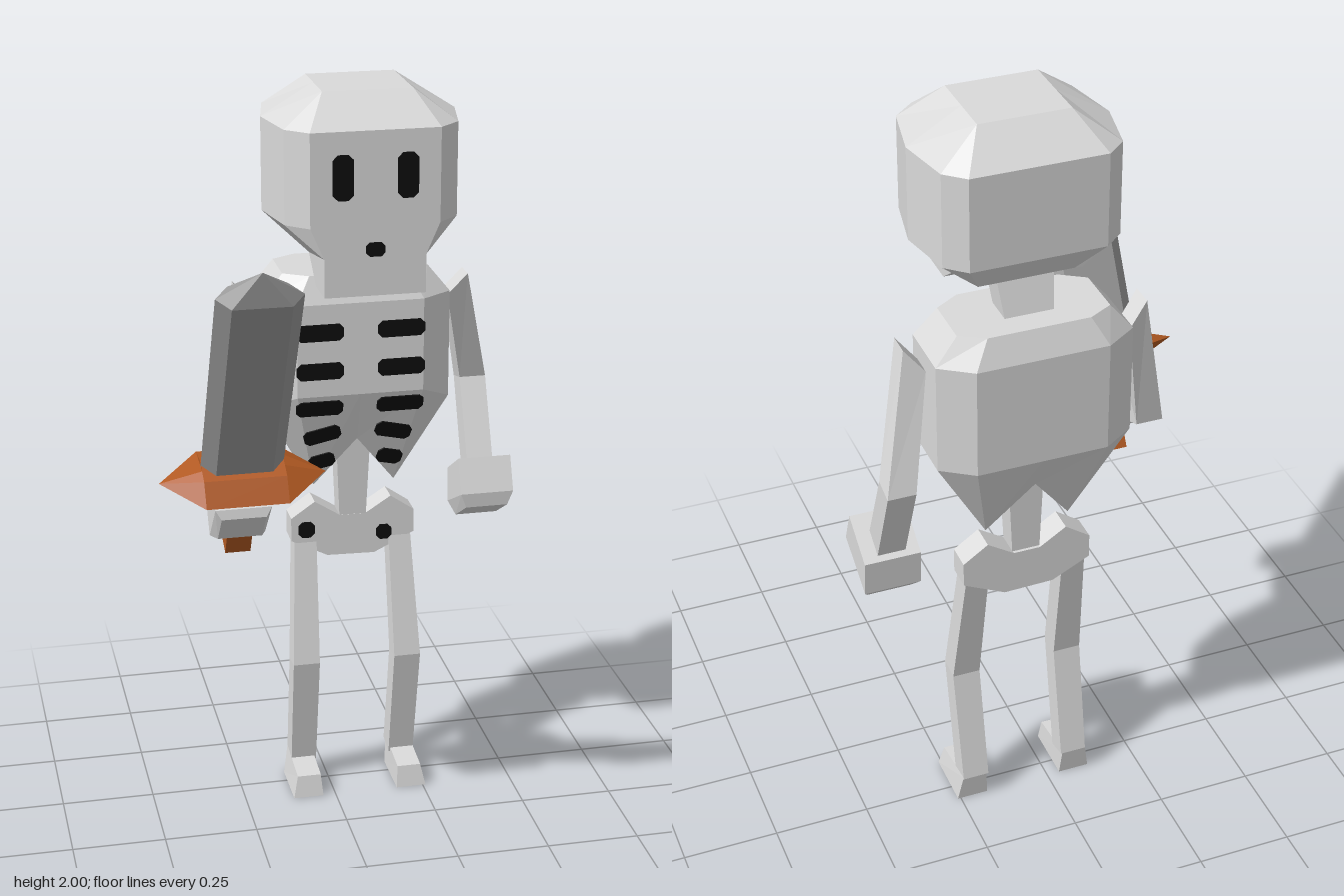
import * as THREE from 'three';

const mat = (name, color) => {
  const m = new THREE.MeshStandardMaterial({ color });
  m.name = name;
  return m;
};

// Faceted skin through rings of points; both ends are capped by strips pairing point i with n-1-i
function loft(rings) {
  const pos = [];
  const tri = (a, b, c) => {
    const [A, B, C] = [a, b, c].map(p => new THREE.Vector3(...p));
    if (B.clone().sub(A).cross(C.clone().sub(A)).length() > 1e-7) pos.push(...a, ...b, ...c);
  };
  const quad = (a, b, c, d) => { tri(a, b, c); tri(a, c, d); };
  const n = rings[0].length;
  for (let r = 0; r < rings.length - 1; r++) {
    const u = rings[r], v = rings[r + 1];
    for (let i = 0; i < n; i++) {
      const j = (i + 1) % n;
      quad(u[i], u[j], v[j], v[i]);
    }
  }
  const first = rings[0], last = rings[rings.length - 1];
  for (let i = 0; i < n / 2 - 1; i++) {
    quad(first[n - 1 - i], first[n - 2 - i], first[i + 1], first[i]);
    quad(last[i], last[i + 1], last[n - 2 - i], last[n - 1 - i]);
  }
  const g = new THREE.BufferGeometry();
  g.setAttribute('position', new THREE.Float32BufferAttribute(pos, 3));
  g.computeVertexNormals();
  return g;
}

// Four-corner ring: x range, then the front and back edges as [z, y]
const seg = (x0, x1, [zf, yf], [zb, yb]) =>
  [[x0, yf, zf], [x0, yb, zb], [x1, yb, zb], [x1, yf, zf]];

// Ring mirrored in x from its +x half, listed front to back as [x, y, z]
const mirrored = half =>
  [...half.map(([x, y, z]) => [-x, y, z]), ...half.slice().reverse()];

export function createModel() {
  const bone = mat('bone', 0xdadada);
  const dark = mat('dark holes', 0x0e0e0e);
  const steel = mat('steel', 0x9a9a9a);
  const copper = mat('copper brown', 0xb25a22);

  const model = new THREE.Group();
  const body = new THREE.Group();
  body.name = 'body';
  body.position.x = 0.07;
  model.add(body);

  const add = (parent, name, geometry, material) => {
    const m = new THREE.Mesh(geometry, material);
    m.name = name;
    parent.add(m);
    return m;
  };

  // Thin dark plate with clipped corners
  const plate = (name, w, h, x, y, z, pitch = 0, roll = 0) => {
    const a = w / 2, b = h / 2, c = Math.min(w, h) * 0.25;
    const s = new THREE.Shape([[a, b - c], [a - c, b], [c - a, b], [-a, b - c],
      [-a, c - b], [c - a, -b], [a - c, -b], [a, c - b]].map(p => new THREE.Vector2(...p)));
    const m = add(body, name, new THREE.ExtrudeGeometry(s, { depth: 0.006, bevelEnabled: false }), dark);
    m.position.set(x, y, z - 0.002);
    m.rotation.set(pitch, 0, roll);
  };

  // Skull with the jaw hanging below its front
  const skull = y => mirrored([[0.165, y, 0.016], [0.22, y, -0.035], [0.25, y, -0.19],
    [0.22, y, -0.34], [0.17, y, -0.385]]);
  const nape = [[0.13, 1.565, -0.18], [0.13, 1.605, -0.33], [0.11, 1.605, -0.33]];
  add(body, 'skull', loft([
    mirrored([[0.115, 2, -0.08], [0.115, 2, -0.08], [0.115, 2, -0.19], [0.115, 2, -0.29], [0.115, 2, -0.29]]),
    skull(1.92), skull(1.68),
    mirrored([[0.13, 1.6, 0.016], [0.13, 1.6, 0.016], ...nape]),
    mirrored([[0.13, 1.5, 0.016], [0.13, 1.5, -0.09], ...nape]),
  ]), bone);
  for (const s of [-1, 1]) plate('eye', 0.053, 0.115, s * 0.082, 1.805, 0.016);
  plate('nose', 0.048, 0.036, 0, 1.62, 0.016);

  // Neck and spine
  add(body, 'neck', loft([
    seg(-0.075, 0.075, [-0.21, 1.62], [-0.29, 1.62]),
    seg(-0.06, 0.06, [-0.25, 1.48], [-0.33, 1.48]),
  ]), bone);
  add(body, 'spine', loft([
    seg(-0.05, 0.05, [-0.24, 1.1], [-0.31, 1.1]),
    seg(-0.035, 0.035, [-0.25, 0.76], [-0.31, 0.76]),
  ]), bone);

  // Ribcage, ending in two points with a notch between them
  const chest = (yf, y, ws, wf, zf, zsf, zsb, zb) => [
    [ws, y, zsf], [wf, yf, zf], [0, yf, zf], [-wf, yf, zf], [-ws, y, zsf],
    [-ws, y, zsb], [-wf, y, zb], [0, y, zb], [wf, y, zb], [ws, y, zsb]];
  const tf = [0.11, 0.9, -0.238], tb = [0.11, 0.89, -0.315];
  const flip = ([x, y, z]) => [-x, y, z];
  add(body, 'ribcage', loft([
    chest(1.5, 1.5, 0.193, 0.13, -0.18, -0.22, -0.355, -0.39),
    chest(1.43, 1.43, 0.25, 0.168, -0.15, -0.205, -0.365, -0.42),
    chest(1.18, 1.14, 0.25, 0.168, -0.15, -0.205, -0.365, -0.42),
    [tf, tf, [0, 1.04, -0.195], flip(tf), flip(tf), flip(tb), flip(tb), [0, 1.04, -0.37], tb, tb],
  ]), bone);

  // Rib gaps: centre x, y, width, roll
  const gaps = [[0.108, 1.355, 0.125, 0], [0.108, 1.25, 0.125, 0], [0.108, 1.145, 0.125, 0],
    [0.096, 1.06, 0.1, 0.25], [0.092, 0.977, 0.07, 0.25]];
  for (const [x, y, w, roll] of gaps) {
    const low = Math.max(0, 1.18 - y);
    for (const s of [-1, 1])
      plate('ribGap', w, 0.045, s * x, y, -0.15 - 0.315 * low, low ? 0.305 : 0, -s * roll);
  }

  // Pelvis
  const hip = [[0.17, 0.735], [0.17, 0.8], [0.105, 0.845], [0.035, 0.8],
    [-0.035, 0.8], [-0.105, 0.845], [-0.17, 0.8], [-0.17, 0.735], [-0.07, 0.685], [0.06, 0.682]];
  add(body, 'pelvis', new THREE.ExtrudeGeometry(
    new THREE.Shape(hip.map(p => new THREE.Vector2(...p))),
    { depth: 0.07, bevelEnabled: false }), bone).position.z = -0.318;
  plate('pelvisHole', 0.045, 0.045, -0.128, 0.765, -0.248);
  plate('pelvisHole', 0.042, 0.042, 0.086, 0.742, -0.248);

  // Legs and feet
  for (const s of [-1, 1]) {
    const ring = (a, b, f, k) => seg(Math.min(s * a, s * b), Math.max(s * a, s * b), f, k);
    add(body, 'leg', loft([
      ring(0.1, 0.16, [-0.252, 0.75], [-0.312, 0.75]),
      ring(0.105, 0.178, [-0.187, 0.39], [-0.25, 0.385]),
      ring(0.105, 0.175, [-0.25, 0.06], [-0.312, 0.075]),
    ]), bone);
    add(body, 'foot', loft([
      ring(0.11, 0.175, [-0.158, 0.06], [-0.311, 0.08]),
      ring(0.105, 0.188, [-0.145, 0], [-0.3, 0]),
    ]), bone);
  }

  // Left arm, hanging
  add(model, 'leftArm', loft([
    [[0.33, 1.4, -0.265], [0.33, 1.4, -0.325], [0.38, 1.46, -0.31], [0.38, 1.46, -0.248]],
    seg(0.39, 0.462, [-0.35, 1.135], [-0.412, 1.12]),
    seg(0.39, 0.462, [-0.25, 0.91], [-0.312, 0.88]),
  ]), bone);
  add(model, 'leftHand', loft([
    seg(0.355, 0.5, [-0.215, 0.95], [-0.33, 0.88]),
    seg(0.355, 0.5, [-0.177, 0.86], [-0.322, 0.785]),
    seg(0.37, 0.485, [-0.18, 0.82], [-0.29, 0.755]),
  ]), bone);

  // Right arm, bent forward
  add(model, 'rightArm', loft([
    [[-0.24, 1.46, -0.248], [-0.24, 1.46, -0.31], [-0.19, 1.4, -0.325], [-0.19, 1.4, -0.265]],
    seg(-0.323, -0.252, [-0.185, 1.135], [-0.25, 1.06]),
    seg(-0.323, -0.252, [0.01, 1.03], [-0.025, 0.965]),
  ]), bone);
  add(model, 'rightHand', loft([
    seg(-0.36, -0.215, [0.03, 1.06], [-0.04, 0.945]),
    seg(-0.36, -0.215, [0.105, 0.99], [0, 0.88]),
    seg(-0.345, -0.23, [0.11, 0.965], [0.04, 0.885]),
  ]), bone);

  // Sword, tilted forward out of the right hand
  const sword = new THREE.Group();
  sword.name = 'sword';
  sword.position.set(-0.286, 1.068, 0.087);
  sword.rotation.x = 0.511;
  model.add(sword);

  const hex = (y, flat, tip, depth, z = 0) =>
    mirrored([[flat, y, z + depth], [tip, y, z], [flat, y, z - depth]]);
  add(sword, 'blade', loft([
    hex(0.714, 0, 0, 0, -0.02),
    hex(0.635, 0.072, 0.106, 0.038, -0.02),
    hex(0.02, 0.072, 0.106, 0.038, -0.02),
  ]), steel);
  add(sword, 'guard', loft([
    hex(0.036, 0.105, 0.105, 0.035),
    hex(0, 0.105, 0.212, 0.095),
    hex(-0.036, 0.105, 0.105, 0.035),
  ]), copper);
  add(sword, 'grip', new THREE.BoxGeometry(0.066, 0.24, 0.045), copper).position.set(0, -0.142, 0.013);

  return model;
}
